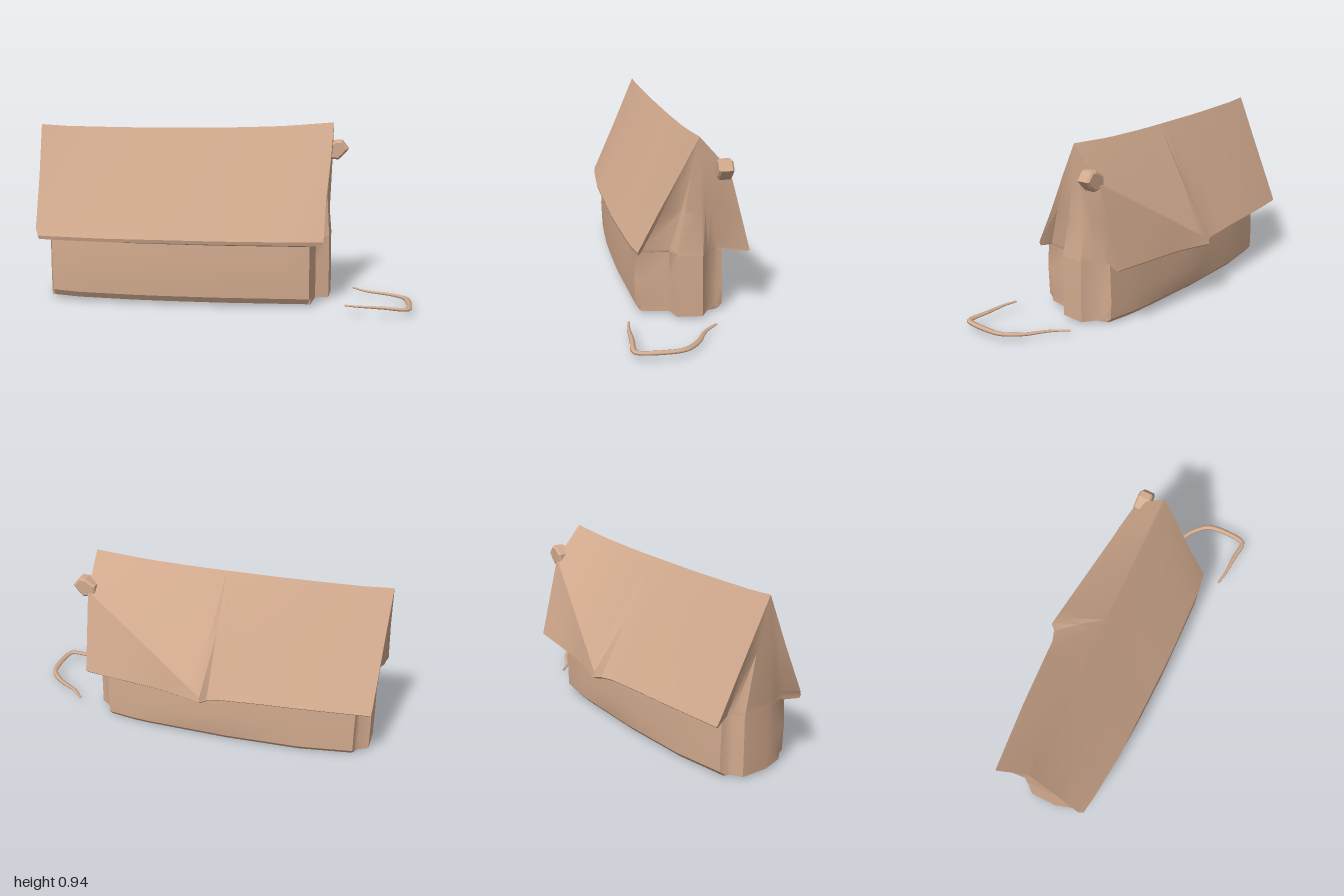
import * as THREE from 'three';
import { toCreasedNormals } from 'three/addons/utils/BufferGeometryUtils.js';

const lerp = THREE.MathUtils.lerp;

// piecewise linear value at x from [x, value] pairs
function at(x, pairs) {
  if (x <= pairs[0][0]) return pairs[0][1];
  for (let i = 1; i < pairs.length; i++) {
    const [x0, v0] = pairs[i - 1], [x1, v1] = pairs[i];
    if (x <= x1) return lerp(v0, v1, (x - x0) / (x1 - x0));
  }
  return pairs[pairs.length - 1][1];
}

// guide lines along the length of the house
const ridgeY = [[-1, 0.922], [-0.9, 0.914], [-0.5, 0.908], [0, 0.912], [0.3, 0.922], [0.575, 0.945]];
const ridgeZ = [[-1, 0.043], [0.575, -0.035]];
const frontEave = [[-1, 0.285], [-0.94, 0.303], [-0.6, 0.324], [0, 0.313], [0.42, 0.285], [0.54, 0.262]];
const frontWall = [[-0.9, 0.25], [-0.75, 0.28], [-0.4, 0.3], [0, 0.295], [0.42, 0.27], [0.54, 0.262]];
const backEave = [[-1, -0.225], [-0.6, -0.275], [-0.2, -0.312], [-0.14, -0.335], [-0.11, -0.366],
  [0, -0.345], [0.1, -0.326], [0.575, -0.3]];
const backEaveY = [[-1, 0.318], [-0.4, 0.315], [-0.11, 0.305], [0.1, 0.318], [0.575, 0.335]];
const backWall = [[-0.9, -0.12], [-0.6, -0.175], [-0.2, -0.2], [0.3, -0.2], [0.48, -0.175]];

// end positions of each row, from the bottom edge to the ridge
const frontL = [-0.895, -0.902, -0.902, -0.902, -0.958, -0.963, -0.97, -0.978, -0.985, -0.998];
const frontR = [0.46, 0.468, 0.468, 0.468, 0.53, 0.538, 0.545, 0.565, 0.57, 0.575];
const backL = [-0.878, -0.885, -0.885, -0.885, -0.97, -0.975, -0.978, -0.98, -0.988, -0.998];
const backR = [0.475, 0.482, 0.482, 0.482, 0.55, 0.555, 0.562, 0.57, 0.572, 0.575];
const ROWS = frontL.length;

// fold of the back roof: runs from the eave up to the chimney
const foldAt = x => Math.max(0, (x + 0.12) / 0.69);

function frontPoint(row, station) {
  const x = THREE.MathUtils.clamp(station, frontL[row], frontR[row]);
  const e = at(x, frontEave), w = at(x, frontWall), s = foldAt(x), T = lerp(0.06, 0.72, s);
  const wall = [[w - 0.025, 0.022], [w - 0.003, 0.055], [w + 0.003, 0.2], [w - 0.005, 0.335], [e - 0.005, 0.343]];
  if (row < 5) return [x, wall[row][1], wall[row][0]];
  const t = [0, T / 2, T, (1 + T) / 2, 1][row - 5];
  return [x, lerp(0.362, at(x, ridgeY), t), lerp(e, at(x, ridgeZ), t)];
}

function backPoint(row, station) {
  const x = THREE.MathUtils.clamp(station, backL[row], backR[row]);
  const e = at(x, backEave), w = at(x, backWall), s = foldAt(x), ey = at(x, backEaveY);
  const bulge = 0.018 * Math.exp(-Math.pow((x + 0.1) / 0.3, 2));
  const wall = [[w + 0.02, 0.003], [w - 0.005, 0.03], [w - 0.007 - bulge, 0.14], [w, 0.35], [e + 0.012, ey]];
  if (row < 5) return [x, wall[row][1], wall[row][0]];
  const eave = [ey + 0.01, e], ridge = [at(x, ridgeY), at(x, ridgeZ)];
  const mix = (a, b, t) => [lerp(a[0], b[0], t), lerp(a[1], b[1], t)];
  const fold = s > 0 ? [lerp(0.335, 0.77, s), lerp(-0.362, -0.188, s)] : mix(eave, ridge, 0.06);
  const [y, z] = [eave, mix(eave, fold, 0.5), fold, mix(fold, ridge, 0.5), ridge][row - 5];
  // the slope swells gently ahead of the fold
  const swell = row === 8 ? 0.012 * Math.exp(-Math.pow((x + 0.25) / 0.14, 2)) : 0;
  return [x, y, z - swell];
}

// grid of points to triangles
function addGrid(pos, idx, grid, flip) {
  const base = pos.length / 3, n = grid[0].length;
  grid.forEach(line => line.forEach(p => pos.push(...p)));
  for (let r = 0; r < grid.length - 1; r++) {
    for (let c = 0; c < n - 1; c++) {
      const a = base + r * n + c, b = a + 1, d = a + n, e = d + 1;
      if (flip) idx.push(a, e, b, a, d, e);
      else idx.push(a, b, e, a, e, d);
    }
  }
}

function makeGeometry(build, crease) {
  const pos = [], idx = [];
  build(pos, idx);
  const g = new THREE.BufferGeometry();
  g.setAttribute('position', new THREE.Float32BufferAttribute(pos, 3));
  g.setIndex(idx);
  return toCreasedNormals(g, crease);
}

// walls, eaves and roof slopes lofted along x
function shell(pos, idx) {
  const stations = [-1, -0.86, -0.75, -0.6, -0.45, -0.3, -0.2, -0.14, -0.11, -0.04, 0.05, 0.15, 0.25, 0.34, 0.43, 0.575];
  const rings = stations.map(x => {
    const ring = [];
    for (let r = 0; r < ROWS; r++) ring.push(frontPoint(r, x));
    for (let r = ROWS - 2; r >= 0; r--) ring.push(backPoint(r, x));
    ring.push(ring[0]);
    return ring;
  });
  addGrid(pos, idx, rings, true);
}

// inner columns of the end walls as [x, z]; the middle stands out as a pier
const leftPier = [[0.475, 0.235], [0.495, 0.095], [0.565, 0.07], [0.575, -0.06], [0.505, -0.1], [0.485, -0.145]];
const rightPier = [[-0.918, 0.215], [-0.935, 0.16], [-0.955, 0.1], [-0.957, -0.045], [-0.9, -0.072], [-0.888, -0.095]];

// end wall, recessed below and flush with the roof edge higher up
function gable(side) {
  const pier = side > 0 ? leftPier : rightPier;
  return (pos, idx) => {
    const grid = [], peak = frontPoint(ROWS - 1, side * 2);
    for (let r = 0; r < ROWS; r++) {
      const f = frontPoint(r, side * 2), b = backPoint(r, side * 2);
      const inner = pier.map(([x, z], i) => {
        const t = (i + 1) / (pier.length + 1);
        const y = lerp(f[1], b[1], t);
        const up = THREE.MathUtils.clamp((y - 0.34) / (peak[1] - 0.34), 0, 1);
        const out = THREE.MathUtils.clamp((y - 0.33) / 0.3, 0, 1);
        return [lerp(x, lerp(f[0], b[0], t) - side * 0.012 * (1 - up), out), y, lerp(z, peak[2], up)];
      });
      // underside row closing the foot of the pier
      if (r === 0) {
        grid.push([f, ...inner.map(p => {
          const t = (p[2] - f[2]) / (b[2] - f[2]);
          return [lerp(f[0], b[0], t), lerp(f[1], b[1], t), p[2]];
        }), b]);
      }
      grid.push([f, ...inner, b]);
    }
    addGrid(pos, idx, grid, side < 0);
  };
}

export function createModel() {
  const group = new THREE.Group();
  const clay = new THREE.MeshStandardMaterial({ color: 0xd2aa8e });
  clay.name = 'clay';
  const add = (name, geometry) => {
    const m = new THREE.Mesh(geometry, clay);
    m.name = name;
    group.add(m);
  };

  add('wallsAndRoof', makeGeometry(shell, 0.38));
  add('leftEndGable', makeGeometry(gable(1), 0.8));
  add('rightEndGable', makeGeometry(gable(-1), 0.8));

  // chimney stub at the end of the roof fold
  const stub = new THREE.Shape([[0.53, 0.74], [0.6, 0.732], [0.625, 0.755], [0.655, 0.79],
    [0.62, 0.835], [0.585, 0.835], [0.53, 0.8]].map(p => new THREE.Vector2(...p)));
  const chimney = new THREE.ExtrudeGeometry(stub, { depth: 0.055, bevelSize: 0.01, bevelThickness: 0.01, bevelOffset: -0.01, bevelSegments: 1 });
  chimney.translate(0, 0, -0.182);
  add('chimney', chimney);

  // thin bent strip lying beside the house
  const path = new THREE.CatmullRomCurve3([[0.7, 0.022, -0.1], [0.77, 0.024, -0.03], [0.89, 0.03, 0.035],
    [0.965, 0.036, 0.11], [0.983, 0.04, 0.2], [0.97, 0.044, 0.34], [0.95, 0.045, 0.35],
    [0.85, 0.048, 0.343], [0.72, 0.05, 0.34], [0.655, 0.05, 0.328]].map(p => new THREE.Vector3(...p)), false, 'centripetal');
  const strip = new THREE.TubeGeometry(path, 40, 0.014, 6);
  // thinner towards both ends, flattened in height
  const p = strip.attributes.position, c = new THREE.Vector3(), v = new THREE.Vector3();
  for (let i = 0; i < p.count; i++) {
    const u = Math.floor(i / 7) / 40;
    path.getPointAt(u, c);
    v.fromBufferAttribute(p, i).sub(c).multiplyScalar(0.5 + 0.7 * Math.sin(Math.PI * u));
    p.setXYZ(i, c.x + v.x, c.y + v.y * 0.6, c.z + v.z);
  }
  strip.computeVertexNormals();
  add('groundStrip', strip);

  return group;
}
